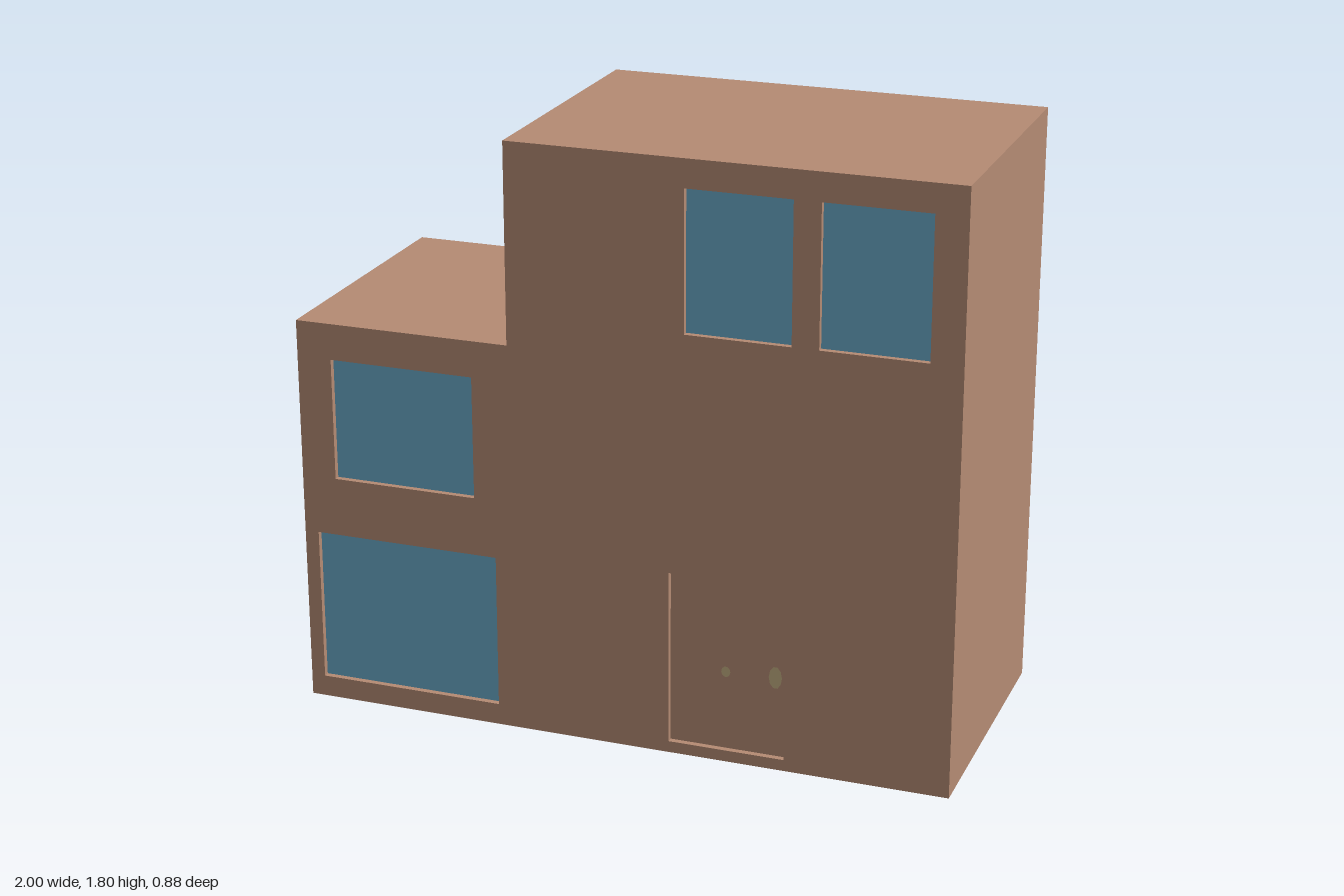
import * as THREE from 'three';

const STEP_X = -0.335, LOW = 1.2, HIGH = 1.8, HALF = 0.44, RECESS = 0.018;

const flat = (name, color) => {
  const m = new THREE.MeshStandardMaterial({ color, side: THREE.DoubleSide });
  m.name = name;
  return m;
};

export function createModel() {
  const house = new THREE.Group();
  house.name = 'house';
  const brick = flat('brick brown', 0xb58b74);
  const tan = flat('tan', 0xc2ad81);
  const glass = flat('window blue', 0x69aac9);

  const add = (name, geometry, material, x = 0, y = 0, z = 0) => {
    const mesh = new THREE.Mesh(geometry, material);
    mesh.name = name;
    mesh.position.set(x, y, z);
    house.add(mesh);
    return mesh;
  };

  // Stepped outline shared by front and back walls
  const outline = [[-1, 0], [1, 0], [1, HIGH], [STEP_X, HIGH], [STEP_X, LOW], [-1, LOW]]
    .map(([x, y]) => new THREE.Vector2(x, y));
  const frontShape = new THREE.Shape(outline);

  // Recessed openings: name, left, right, bottom, top, material
  const openings = [
    ['upperWindowInner', 0.2, 0.513, 1.295, 1.715, glass],
    ['upperWindowOuter', 0.592, 0.905, 1.295, 1.715, glass],
    ['middleWindow', -0.893, -0.447, 0.717, 1.09, glass],
    ['lowerWindow', -0.957, -0.383, 0.065, 0.538, glass],
    ['door', 0.155, 0.508, 0.035, 0.57, brick],
  ];
  for (const [name, x0, x1, y0, y1, material] of openings) {
    const w = x1 - x0, h = y1 - y0, cx = (x0 + x1) / 2, cy = (y0 + y1) / 2;
    frontShape.holes.push(new THREE.Path(
      [[x0, y0], [x0, y1], [x1, y1], [x1, y0]].map(([x, y]) => new THREE.Vector2(x, y))));
    add(name, new THREE.PlaneGeometry(w, h), material, cx, cy, HALF - RECESS);
    // Four side faces of a box line the recess
    const reveal = new THREE.BoxGeometry(w, h, RECESS);
    reveal.setIndex(Array.from(reveal.index.array.slice(0, 24)));
    reveal.clearGroups();
    add(name + 'Reveal', reveal, brick, cx, cy, HALF - RECESS / 2);
  }
  add('frontWall', new THREE.ShapeGeometry(frontShape), brick, 0, 0, HALF);

  // Back wall faces away from the front
  add('backWall', new THREE.ShapeGeometry(new THREE.Shape(outline)).rotateY(Math.PI).scale(-1, 1, 1),
    tan, 0, 0, -HALF);

  // Side walls and the riser between the two roofs
  const side = (name, x, y0, y1, dir) =>
    add(name, new THREE.PlaneGeometry(2 * HALF, y1 - y0).rotateY(dir * Math.PI / 2), brick, x, (y0 + y1) / 2);
  side('leftWall', 1, 0, HIGH, 1);
  side('rightWall', -1, 0, LOW, -1);
  side('stepWall', STEP_X, LOW, HIGH, -1);

  // Flat roofs; the underside stays open
  const roof = (name, x0, x1, y) =>
    add(name, new THREE.PlaneGeometry(x1 - x0, 2 * HALF).rotateX(-Math.PI / 2), brick, (x0 + x1) / 2, y);
  roof('lowRoof', -1, STEP_X, LOW);
  roof('highRoof', STEP_X, 1, HIGH);

  // Oval door fittings: the handle shows on both faces, the peephole outside only
  const oval = (name, x, y, w, h, z) =>
    add(name, new THREE.CircleGeometry(0.5, 10).scale(w, h, 1), tan, x, y, z);
  const doorZ = HALF - RECESS;
  oval('doorHandleOutside', 0.475, 0.285, 0.04, 0.07, doorZ + 0.004);
  oval('doorHandleInside', 0.475, 0.285, 0.04, 0.07, doorZ - 0.004);
  oval('doorPeephole', 0.325, 0.28, 0.028, 0.034, doorZ + 0.004);

  return house;
}
